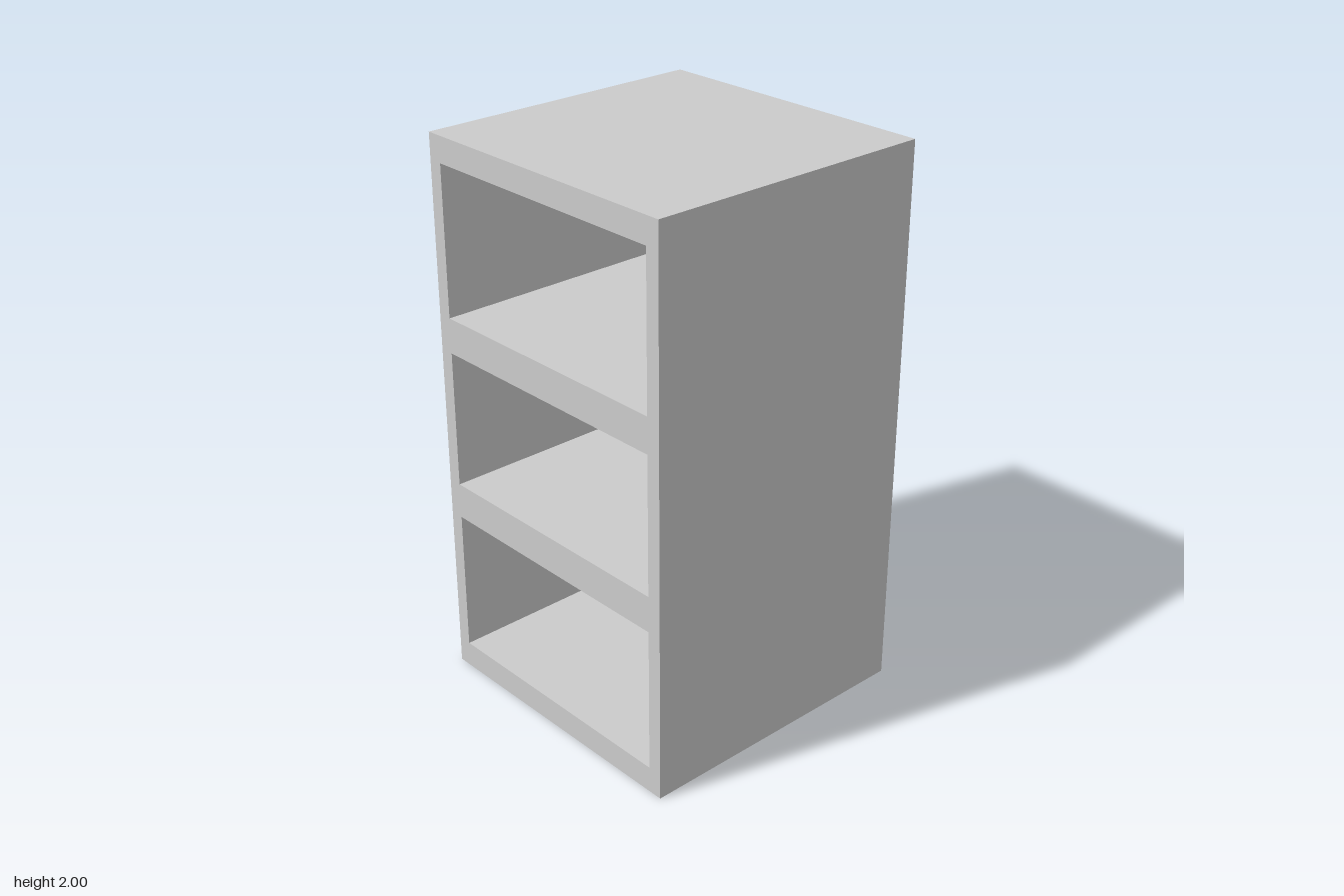
import * as THREE from 'three';

const WIDTH = 1.086, HEIGHT = 2, DEPTH = 1.08, BACK = 0.053;
const INNER = 0.491; // half width of each compartment
const OPENINGS = [[0.095, 0.62], [0.75, 1.247], [1.374, 1.908]]; // bottom and top of each

function rectangle(target, x, y0, y1) {
  target.moveTo(-x, y0);
  target.lineTo(x, y0);
  target.lineTo(x, y1);
  target.lineTo(-x, y1);
  target.closePath();
  return target;
}

export function createModel() {
  const group = new THREE.Group();
  group.name = 'shelfCabinet';
  const material = new THREE.MeshStandardMaterial({ color: 0xcccccc });

  // Carcass: sides, top, bottom and shelves as one frame with three openings
  const outline = rectangle(new THREE.Shape(), WIDTH / 2, 0, HEIGHT);
  for (const [y0, y1] of OPENINGS) {
    outline.holes.push(rectangle(new THREE.Path(), INNER, y0, y1));
  }
  const frame = new THREE.Mesh(
    new THREE.ExtrudeGeometry(outline, { depth: DEPTH - BACK, bevelEnabled: false }),
    material
  );
  frame.name = 'carcass';
  frame.position.z = -DEPTH / 2 + BACK;
  group.add(frame);

  // Back panel closing the compartments
  const back = new THREE.Mesh(new THREE.BoxGeometry(WIDTH, HEIGHT, BACK), material);
  back.name = 'backPanel';
  back.position.set(0, HEIGHT / 2, -DEPTH / 2 + BACK / 2);
  group.add(back);

  return group;
}
